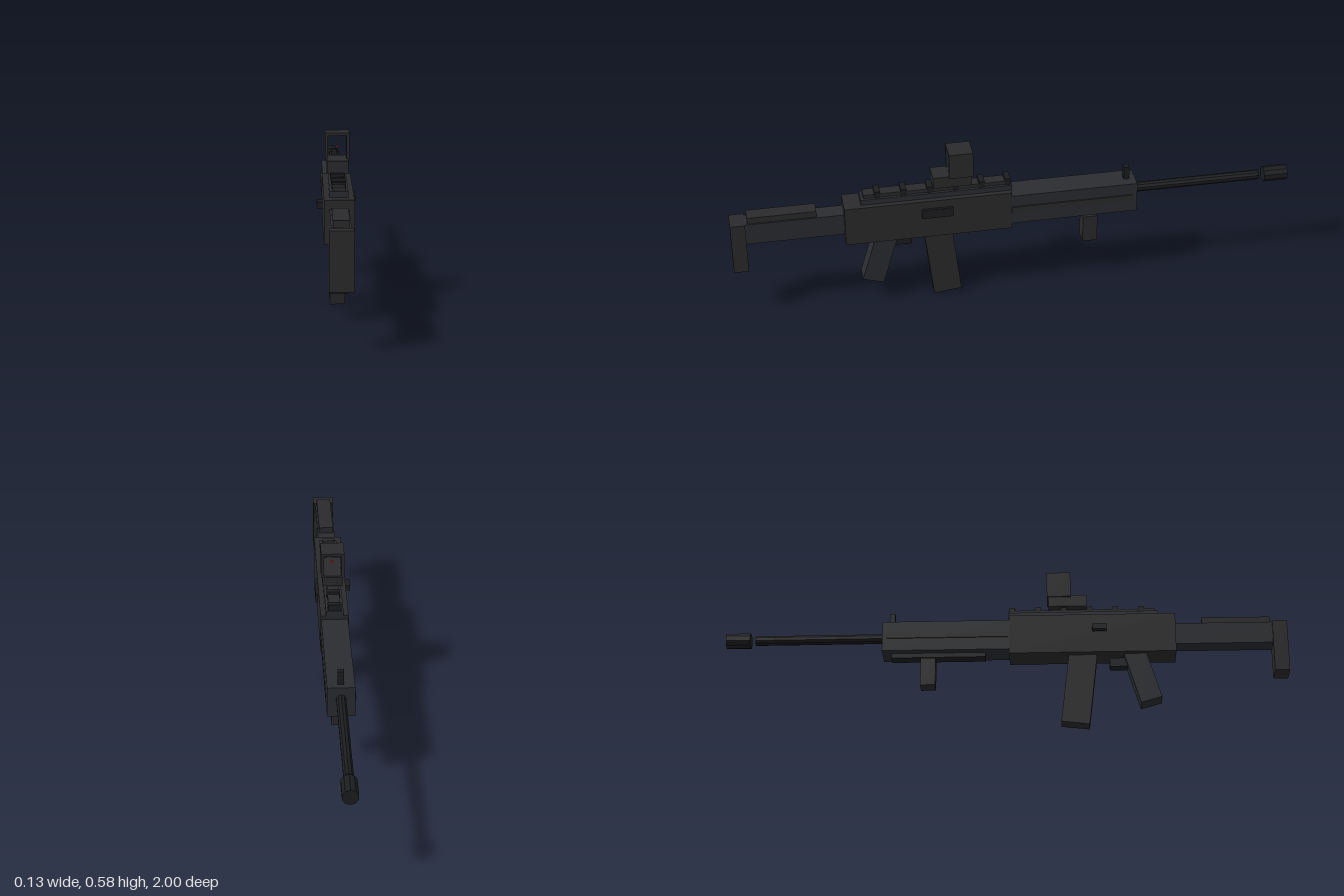
import * as THREE from 'three';

const CX = 0.005; // centre line of the main parts

export function createModel() {
  const model = new THREE.Group();
  const mat = (color) => new THREE.MeshStandardMaterial({ color, flatShading: true });
  const body = mat(0x2a2a2c);
  const furniture = mat(0x2a2c30);
  const steel = mat(0x1c1d1f);
  const red = mat(0xcc2a22);

  const add = (name, geometry, material, x, y, z, tilt = 0) => {
    const mesh = new THREE.Mesh(geometry, material);
    mesh.name = name;
    mesh.position.set(x, y, z);
    mesh.rotation.x = tilt;
    model.add(mesh);
    return mesh;
  };
  // box given by width, its y range and its z range
  const block = (name, material, w, y0, y1, z0, z1, x = CX) =>
    add(name, new THREE.BoxGeometry(w, y1 - y0, z1 - z0), material, x, (y0 + y1) / 2, (z0 + z1) / 2);
  // cylinder lying along z
  const rod = (name, material, r, z0, z1) =>
    add(name, new THREE.CylinderGeometry(r, r, z1 - z0, 10), material, CX, 0.351, (z0 + z1) / 2, Math.PI / 2);

  // receiver with its side details
  block('receiver', body, 0.1, 0.265, 0.412, 0.015, 0.605);
  block('ejectionPort', steel, 0.02, 0.347, 0.382, 0.225, 0.335, 0.054);
  block('chargingHandle', steel, 0.03, 0.345, 0.366, 0.31, 0.36, -0.051);

  // shoulder stock
  block('stock', furniture, 0.064, 0.3, 0.38, 0.6, 0.95);
  block('cheekRest', body, 0.053, 0.375, 0.403, 0.7, 0.94);
  block('buttPad', body, 0.078, 0.19, 0.382, 0.948, 1);

  // handguard
  block('handguard', furniture, 0.095, 0.283, 0.396, -0.437, 0.02);
  block('handguardStrip', body, 0.103, 0.33, 0.352, -0.42, 0.015);
  block('lowerRail', steel, 0.042, 0.266, 0.287, -0.405, -0.07);
  block('foregrip', body, 0.052, 0.158, 0.262, -0.3, -0.247);
  block('frontSight', steel, 0.022, 0.39, 0.445, -0.415, -0.395);

  // barrel and muzzle
  rod('barrel', steel, 0.0175, -0.895, -0.43);
  rod('muzzle', steel, 0.028, -1, -0.913);

  // grip, trigger guard and magazine
  add('pistolGrip', new THREE.BoxGeometry(0.0625, 0.2, 0.077), furniture, CX, 0.183, 0.485, -0.29);
  block('triggerGuard', steel, 0.035, 0.222, 0.255, 0.37, 0.46);
  add('magazine', new THREE.BoxGeometry(0.052, 0.28, 0.1), body, CX, 0.145, 0.262, 0.115);

  // stepped top rail with cross teeth
  block('topRail', furniture, 0.0625, 0.41, 0.432, 0.012, 0.545);
  block('railRidge', body, 0.042, 0.43, 0.445, 0.02, 0.535);
  for (let i = 0; i < 6; i++) {
    const z = 0.026 + i * 0.092;
    block('railTooth', steel, 0.048, 0.43, 0.455, z - 0.01, z + 0.01);
  }

  // sight: base, open window frame and aiming dot
  block('sightBase', body, 0.073, 0.453, 0.496, 0.155, 0.292);
  const frame = new THREE.Shape([[-0.0415, 0], [0.0415, 0], [0.0415, 0.095], [-0.0415, 0.095]]
    .map(([x, y]) => new THREE.Vector2(x, y)));
  frame.holes.push(new THREE.Path([[-0.031, 0.007], [-0.031, 0.085], [0.031, 0.085], [0.031, 0.007]]
    .map(([x, y]) => new THREE.Vector2(x, y))));
  add('sightFrame', new THREE.ExtrudeGeometry(frame, { depth: 0.085, bevelEnabled: false }), body, CX, 0.49, 0.15);
  block('aimingDot', red, 0.007, 0.529, 0.536, 0.189, 0.196);

  return model;
}
